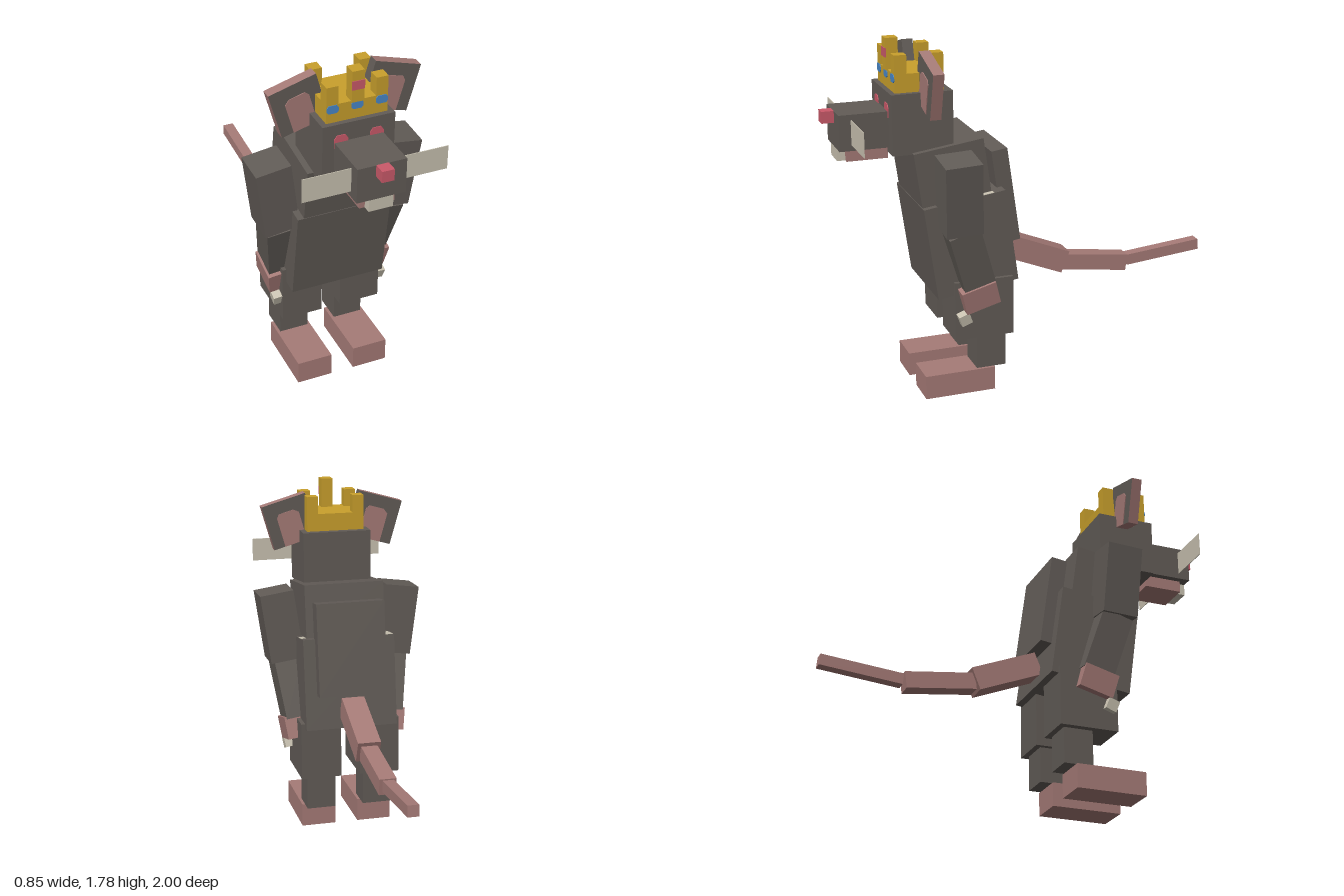
import * as THREE from 'three';

const mat = (name, color) => {
  const m = new THREE.MeshStandardMaterial({ color });
  m.name = name;
  return m;
};
const rad = THREE.MathUtils.degToRad;

export function createModel() {
  const root = new THREE.Group();
  root.name = 'crownedRat';

  const fur = mat('grey fur', 0x625c57);
  const skin = mat('pink skin', 0xa67b77);
  const bone = mat('cream bone', 0xc9c2b1);
  const gold = mat('gold', 0xc9a02c);
  const blue = mat('blue gem', 0x4a88c8);
  const red = mat('red', 0xcb5a6a);

  // Box from size, centre and tilt in degrees
  const box = (name, m, size, pos, rx = 0, rz = 0, parent = root) => {
    const mesh = new THREE.Mesh(new THREE.BoxGeometry(...size), m);
    mesh.name = name;
    mesh.position.set(...pos);
    mesh.rotation.set(rad(rx), 0, rad(rz));
    parent.add(mesh);
    return mesh;
  };
  // Box from its min and max corners
  const span = (name, m, a, b) =>
    box(name, m, a.map((v, i) => b[i] - v), a.map((v, i) => (v + b[i]) / 2));
  // Thin painted plate from an outline
  const plate = (name, m, pts, depth, parent = root) => {
    const shape = new THREE.Shape(pts.map(p => new THREE.Vector2(...p)));
    const mesh = new THREE.Mesh(new THREE.ExtrudeGeometry(shape, { depth, bevelEnabled: false }), m);
    mesh.name = name;
    parent.add(mesh);
    return mesh;
  };

  // Torso, leaning forward
  const belly = box('belly', fur, [0.48, 0.47, 0.415], [0, 0.779, 0.334], 8);
  box('chest', fur, [0.416, 0.30, 0.35], [0, 1.128, 0.413], 8);
  box('backHump', fur, [0.355, 0.477, 0.082], [0, 0.99, 0.137], 8);
  box('rightBellyPatch', bone, [0.045, 0.006, 0.10], [-0.214, 0.234, -0.155], 0, 0, belly);
  box('leftBellyPatch', bone, [0.028, 0.006, 0.06], [0.225, 0.234, -0.12], 0, 0, belly);

  // Head
  span('head', fur, [-0.178, 1.245, 0.40], [0.178, 1.54, 0.70]);
  span('snout', fur, [-0.12, 1.275, 0.69], [0.12, 1.45, 0.94]);
  span('nose', red, [-0.03, 1.395, 0.94], [0.03, 1.452, 1.0]);
  span('jaw', skin, [-0.087, 1.215, 0.70], [0.087, 1.275, 0.90]);
  span('teeth', bone, [-0.06, 1.215, 0.90], [0.06, 1.275, 0.94]);

  // Tail, three tapering segments
  [
    [0.118, 0.354, -0.063, 0.623, -22],
    [0.084, 0.357, -0.40, 0.528, -7.5],
    [0.056, 0.414, -0.791, 0.531, 5.3],
  ].forEach(([w, len, z, y, a], i) =>
    box('tailSegment' + (i + 1), skin, [w, w, len], [0, y, z], a));

  for (const s of [1, -1]) {
    const side = s > 0 ? 'left' : 'right';

    // Legs
    box(side + 'Thigh', fur, [0.21, 0.30, 0.30], [s * 0.155, 0.45, 0.28]);
    box(side + 'Shin', fur, [0.15, 0.18, 0.15], [s * 0.15, 0.21, 0.235]);
    box(side + 'Foot', skin, [0.18, 0.12, 0.36], [s * 0.15, 0.06, 0.40]);

    // Arms
    box(side + 'UpperArm', fur, [0.176, 0.362, 0.182], [s * 0.311, 1.066, 0.418], 2.5, -s * 8);
    box(side + 'Forearm', fur, [0.16, 0.32, 0.16], [s * 0.256, 0.737, 0.362], 17, -s * 8);
    box(side + 'Hand', skin, [0.18, 0.118, 0.178], [s * 0.229, 0.54, 0.316], 15, -s * 8);
    for (const x of [0.278, 0.168])
      box(side + 'Claw', bone, [0.044, 0.056, 0.056], [s * x, 0.421, 0.389], 20, -s * 8);

    // Eye and whisker
    plate(side + 'Eye', red, [[-0.034, -0.03], [0.034, -0.03], [0.034, 0.015],
      [0.02, 0.035], [-0.02, 0.035], [-0.034, 0.015]], 0.004).position.set(s * 0.088, 1.45, 0.70);
    box(side + 'Whiskers', bone, [0.237, 0.12, 0.004], [s * 0.237, 1.364, 0.88]);

    // Ear: grey faces, pink rim and inner patch on both faces
    const sides = s > 0 ? [skin, fur] : [fur, skin];
    const ear = box(side + 'Ear', [...sides, skin, skin, fur, fur],
      [0.238, 0.237, 0.054], [s * 0.228, 1.585, 0.527], 0, -s * 16);
    const inner = [[-0.06, -0.118], [0.06, -0.118], [0.06, 0.035],
      [0.045, 0.055], [-0.035, 0.055], [-0.06, 0.035]];
    plate(side + 'InnerEar', skin, inner, 0.062, ear).position.z = -0.031;

    // Crown corner points and outer gems
    for (const [end, z] of [['Front', 0.645], ['Back', 0.466]])
      box(side + end + 'CrownPoint', gold, [0.058, 0.10, 0.06], [s * 0.121, 1.67, z]);
  }

  // Crown band, middle point and gems
  span('crownBand', gold, [-0.15, 1.54, 0.436], [0.15, 1.63, 0.675]);
  span('middleCrownPoint', gold, [-0.03, 1.625, 0.622], [0.03, 1.78, 0.683]);
  span('redGem', red, [-0.0305, 1.688, 0.68], [0.0305, 1.732, 0.687]);
  for (const x of [-0.12, 0, 0.12])
    plate('blueGem', blue, [[-0.02, 0], [0.02, 0], [0.029, 0.01], [0.029, 0.028],
      [0.02, 0.04], [-0.02, 0.04], [-0.029, 0.028], [-0.029, 0.01]], 0.005).position.set(x, 1.588, 0.674);

  return root;
}
